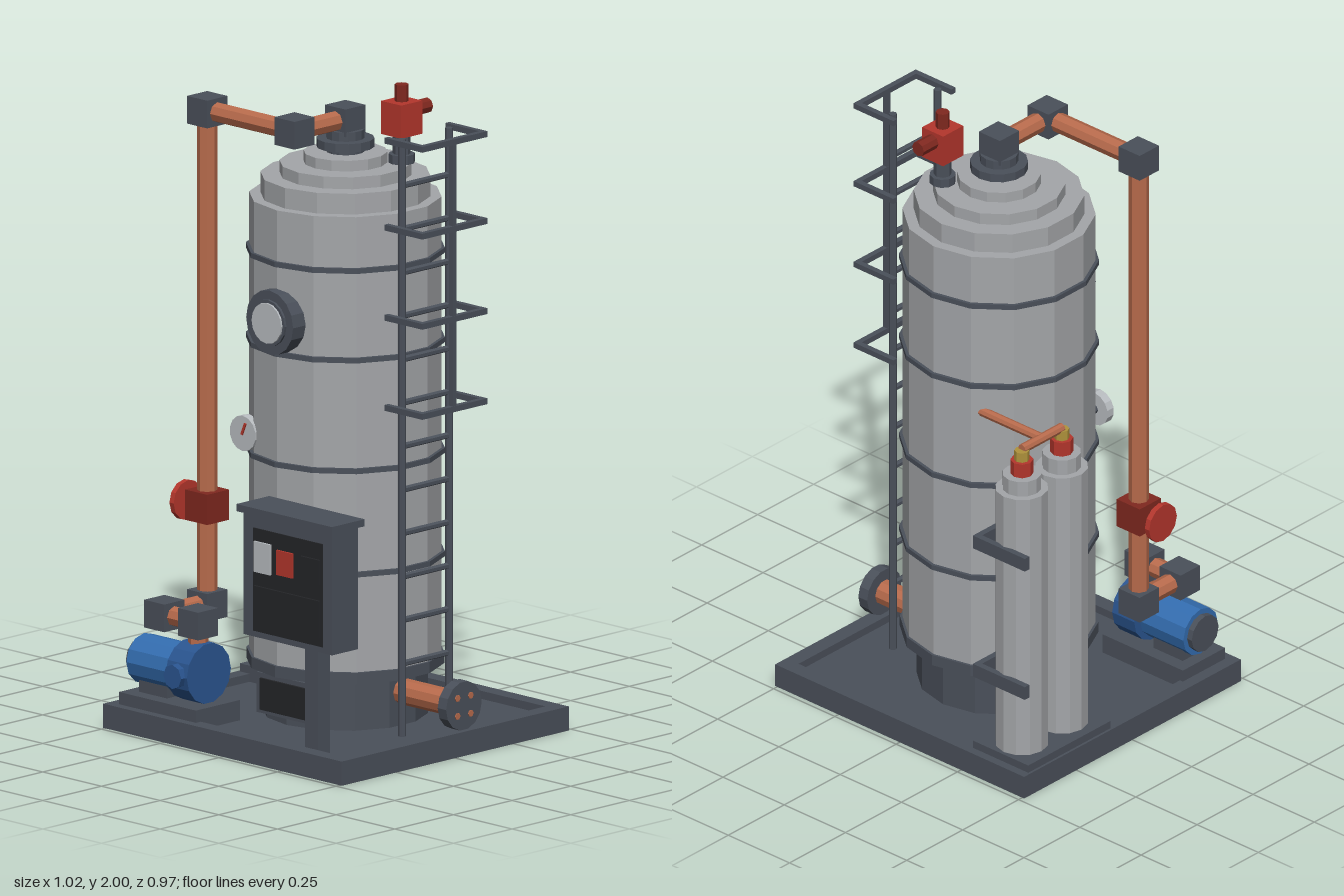
import * as THREE from 'three';

const mat = (name, color) => {
  const m = new THREE.MeshStandardMaterial({ color, flatShading: true });
  m.name = name;
  return m;
};

export function createModel() {
  const root = new THREE.Group();
  root.name = 'boilerSkid';
  const slate = mat('slate steel', 0x4a505a), grey = mat('tank grey', 0xa4a6a9);
  const copper = mat('copper', 0xb86b4c), red = mat('red', 0xb4362c);
  const darkRed = mat('dark red', 0x80281f), blue = mat('motor blue', 0x336db0);
  const darkBlue = mat('pump blue', 0x2a5590), black = mat('black', 0x242528);
  const brass = mat('brass', 0xb0933c), pale = mat('pale grey', 0xb8bcc0);

  const add = (name, geo, m, x, y, z) => {
    const mesh = new THREE.Mesh(geo, m);
    mesh.name = name;
    mesh.position.set(x, y, z);
    root.add(mesh);
    return mesh;
  };
  // box given by its min and max along each axis
  const box = (name, m, x0, x1, y0, y1, z0, z1) =>
    add(name, new THREE.BoxGeometry(x1 - x0, y1 - y0, z1 - z0), m,
      (x0 + x1) / 2, (y0 + y1) / 2, (z0 + z1) / 2);
  const cube = (name, m, x, y, z, s = 0.086) => add(name, new THREE.BoxGeometry(s, s, s), m, x, y, z);
  // cylinder between two points
  const rod = (name, m, r, a, b, sides = 8) => {
    const A = new THREE.Vector3(...a), B = new THREE.Vector3(...b), d = B.clone().sub(A);
    const mesh = add(name, new THREE.CylinderGeometry(r, r, d.length(), sides), m,
      (a[0] + b[0]) / 2, (a[1] + b[1]) / 2, (a[2] + b[2]) / 2);
    mesh.quaternion.setFromUnitVectors(new THREE.Vector3(0, 1, 0), d.normalize());
    return mesh;
  };
  const stand = (name, m, r, x, z, y0, y1, sides) => rod(name, m, r, [x, y0, z], [x, y1, z], sides);

  // Base tray with a raised curb
  box('baseSlab', slate, -0.508, 0.508, 0, 0.05, -0.484, 0.484);
  for (const s of [-1, 1]) {
    const x = s * 0.483, z = s * 0.459;
    box('curbSide', slate, x - 0.025, x + 0.025, 0.05, 0.075, -0.484, 0.484);
    box('curbEnd', slate, -0.458, 0.458, 0.05, 0.075, z - 0.025, z + 0.025);
  }

  // Tank: skirt, shell, stepped crown, bands
  const tz = -0.04, N = 14;
  stand('skirt', slate, 0.25, 0, tz, 0.05, 0.21, N);
  stand('skirtRing', slate, 0.3, 0, tz, 0.207, 0.242, N);
  stand('tankShell', grey, 0.292, 0, tz, 0.24, 1.656, N);
  [[0.258, 1.65, 1.72], [0.2, 1.71, 1.757], [0.127, 1.75, 1.79]].forEach(([r, a, b]) =>
    stand('crownStep', grey, r, 0, tz, a, b, N));
  for (const y of [0.547, 0.868, 1.212, 1.49]) stand('tankBand', slate, 0.302, 0, tz, y - 0.008, y + 0.008, N);
  stand('outletNeck', slate, 0.058, 0, tz, 1.78, 1.86, N);
  stand('outletFlange', slate, 0.088, 0, tz, 1.805, 1.832, N);

  // Fire door and hatch plate
  box('fireDoorFrame', slate, -0.125, 0.125, 0.07, 0.195, 0.12, 0.214);
  box('fireDoor', black, -0.105, 0.1, 0.082, 0.18, 0.2, 0.222);
  box('hatchPlate', slate, -0.09, 0.09, 0.64, 0.74, 0.19, 0.255);

  // Porthole
  rod('portholeRim', slate, 0.1, [0, 1.313, 0.2], [0, 1.313, 0.283], 16);
  rod('portholeRing', slate, 0.072, [0, 1.313, 0.28], [0, 1.313, 0.291], 16);
  rod('portholeGlass', pale, 0.063, [0, 1.313, 0.285], [0, 1.313, 0.297], 16);

  // Pressure gauge
  rod('gaugeStem', slate, 0.015, [-0.165, 0.931, 0.14], [-0.165, 0.931, 0.21]);
  rod('gaugeDial', pale, 0.055, [-0.165, 0.931, 0.205], [-0.165, 0.931, 0.233], 14);
  const needle = add('gaugeNeedle', new THREE.BoxGeometry(0.008, 0.04, 0.005), red, -0.159, 0.946, 0.235);
  needle.rotation.z = -0.4;

  // Main pipe run with cube elbows
  const px = -0.372, pz = 0.177, top = 1.89, low = 0.357, pumpZ = 0.36, volX = -0.228;
  const run = [[0, top, tz], [0, top, pz], [px, top, pz], [px, low, pz], [px, low, pumpZ], [volX, low, pumpZ]];
  run.forEach((p, i) => {
    cube('pipeElbow', slate, ...p);
    if (i) rod('mainPipe', copper, 0.031, run[i - 1], p);
  });
  rod('pumpRiser', copper, 0.031, [volX, 0.26, pumpZ], [volX, low, pumpZ]);

  // Shut-off valve and handwheel
  cube('valveBody', darkRed, px, 0.663, pz, 0.094);
  rod('valveStem', slate, 0.011, [px, 0.663, pz], [-0.465, 0.663, pz]);
  rod('handwheel', red, 0.062, [-0.453, 0.663, pz], [-0.471, 0.663, pz], 12);

  // Pump and motor
  const my = 0.205;
  box('pumpPlinth', slate, -0.47, -0.142, 0.05, 0.113, 0.267, 0.455);
  box('motorFoot', slate, -0.43, -0.31, 0.11, 0.16, 0.31, 0.41);
  rod('motor', blue, 0.077, [-0.457, my, pumpZ], [-0.281, my, pumpZ], 12);
  rod('motorCap', slate, 0.06, [-0.476, my, pumpZ], [-0.455, my, pumpZ], 12);
  rod('coupling', slate, 0.04, [-0.285, my, pumpZ], [-0.265, my, pumpZ], 12);
  rod('pumpHousing', darkBlue, 0.094, [-0.272, my, pumpZ], [-0.182, my, pumpZ], 14);
  rod('pumpInlet', darkBlue, 0.038, [volX, my, 0.4], [volX, my, 0.47], 8);

  // Control cabinet
  box('cabinetPost', slate, 0.292, 0.348, 0.05, 0.4, 0.373, 0.425);
  box('cabinetBody', slate, 0.063, 0.44, 0.388, 0.772, 0.347, 0.457);
  box('cabinetRoof', slate, 0.048, 0.455, 0.77, 0.792, 0.333, 0.473);
  box('controlPanel', black, 0.107, 0.402, 0.407, 0.727, 0.455, 0.461);
  box('screen', pale, 0.116, 0.185, 0.593, 0.688, 0.46, 0.468);
  box('stopButton', red, 0.212, 0.28, 0.6, 0.677, 0.46, 0.468);
  box('switchBlock', black, 0.315, 0.395, 0.6, 0.677, 0.46, 0.469);
  box('lowerDisplay', black, 0.116, 0.395, 0.434, 0.55, 0.46, 0.469);

  // Ladder with safety cage
  const lx = 0.342;
  for (const s of [-1, 1]) stand('ladderRail', slate, 0.012, lx, tz + s * 0.1, 0.05, 1.905, 8);
  for (let i = 0; i < 12; i++) {
    const y = 0.275 + i * 0.135;
    rod('ladderRung', slate, 0.01, [lx, y, tz - 0.1], [lx, y, tz + 0.1], 6);
  }
  for (const y of [1.07, 1.35, 1.63, 1.9]) {
    for (const s of [-1, 1]) {
      const z = tz + s * 0.13;
      box('cageArm', slate, 0.305, 0.465, y - 0.009, y + 0.009, z - 0.009, z + 0.009);
    }
    box('cageBar', slate, 0.449, 0.467, y - 0.009, y + 0.009, tz - 0.139, tz + 0.139);
  }
  box('cageUpright', slate, 0.45, 0.466, 1.07, 1.9, tz - 0.008, tz + 0.008);

  // Side drain pipe with bolted flange
  rod('drainPipe', copper, 0.04, [0.2, 0.155, tz], [0.475, 0.155, tz], 10);
  rod('drainFlange', slate, 0.076, [0.469, 0.155, tz], [0.505, 0.155, tz], 14);
  for (const a of [-1, 1]) for (const b of [-1, 1]) {
    const y = 0.155 + a * 0.028, z = tz + b * 0.028;
    rod('flangeBolt', copper, 0.011, [0.5, y, z], [0.508, y, z], 6);
  }

  // Safety valve
  const sx = 0.127, sz = -0.153;
  stand('safetyNeck', slate, 0.027, sx, sz, 1.7, 1.85, 8);
  stand('safetyCollar', slate, 0.04, sx, sz, 1.757, 1.785, 10);
  box('safetyBody', red, sx - 0.043, sx + 0.043, 1.845, 1.948, sz - 0.045, sz + 0.045);
  stand('safetyCap', darkRed, 0.021, sx, sz, 1.945, 2.0, 8);
  rod('safetyOutlet', darkRed, 0.024, [sx, 1.915, sz], [sx, 1.915, -0.263]);

  // Gas bottles with straps and manifold
  const gx = -0.39, bottles = [-0.365, -0.187];
  box('bottlePlinth', slate, -0.5, -0.275, 0.05, 0.1, -0.457, -0.09);
  for (const z of bottles) {
    stand('bottle', grey, 0.081, gx, z, 0.098, 0.985, 12);
    stand('bottleShoulder', grey, 0.059, gx, z, 0.98, 1.035, 12);
    stand('bottleValve', red, 0.035, gx, z, 1.03, 1.082, 8);
    stand('bottleNozzle', brass, 0.023, gx, z, 1.08, 1.114, 8);
  }
  for (const y of [0.345, 0.79]) {
    box('strapBack', slate, -0.487, -0.275, y - 0.022, y + 0.022, -0.458, -0.438);
    box('strapSide', slate, -0.295, -0.275, y - 0.022, y + 0.022, -0.458, -0.13);
  }
  rod('manifold', copper, 0.015, [gx, 1.117, bottles[0]], [gx, 1.117, bottles[1]]);
  rod('gasFeed', copper, 0.015, [gx, 1.117, -0.276], [-0.14, 1.117, -0.276]);

  return root;
}
